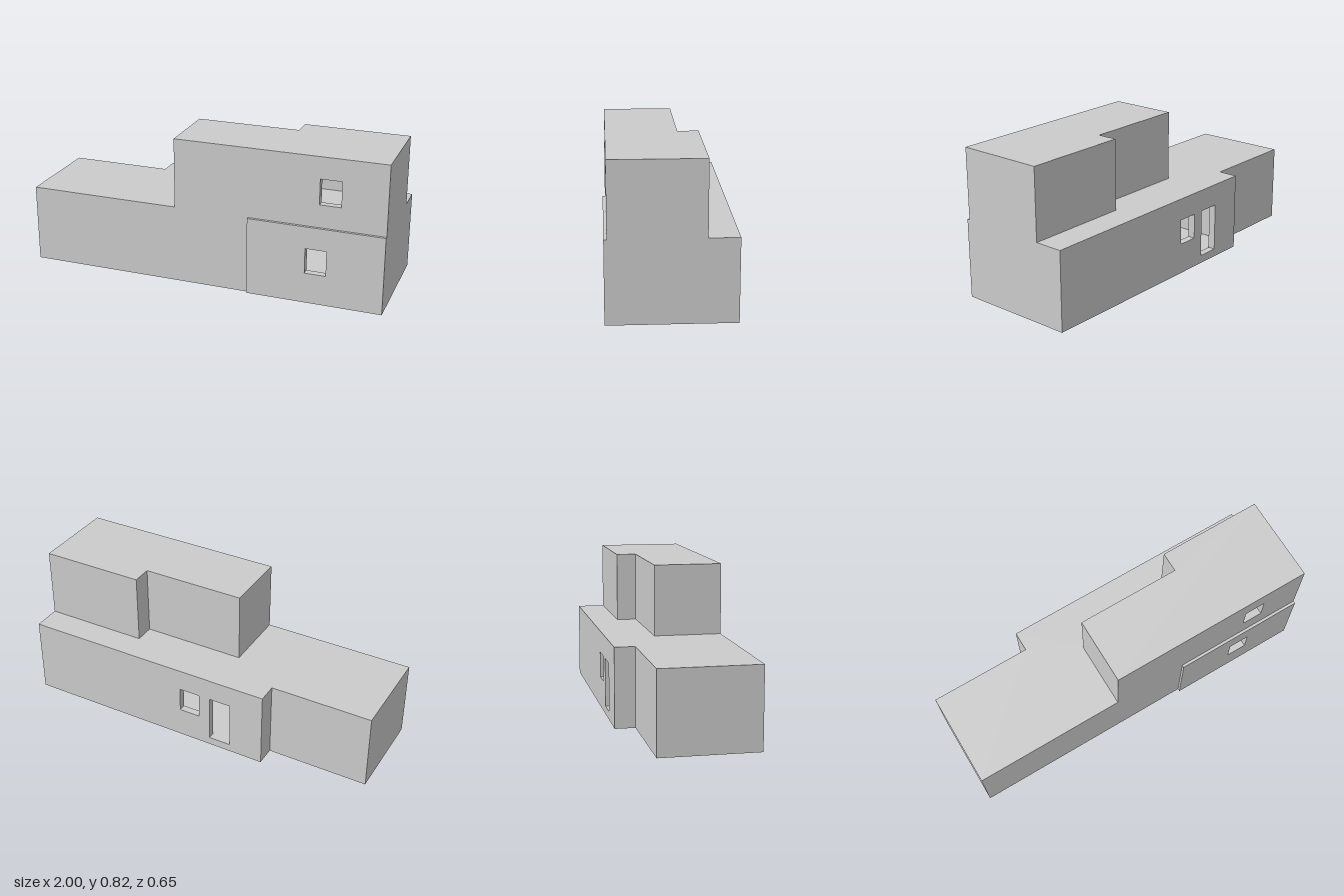
import * as THREE from 'three';

const WALL = 0.04; // thickness of walls, floors and roofs
const material = new THREE.MeshStandardMaterial({ color: 0xcccccc, flatShading: true });

function addMesh(parent, name, geometry) {
  const mesh = new THREE.Mesh(geometry, material);
  mesh.name = name;
  parent.add(mesh);
  return mesh;
}

// Horizontal slab with the outline of the plan, points given as [x, z]
function addSlab(parent, name, plan, y) {
  const shape = new THREE.Shape(plan.map(([x, z]) => new THREE.Vector2(x, -z)));
  const geometry = new THREE.ExtrudeGeometry(shape, { depth: WALL, bevelEnabled: false });
  addMesh(parent, name, geometry.rotateX(-Math.PI / 2).translate(0, y, 0));
}

function rectangle(target, x0, x1, y0, y1) {
  target.moveTo(x0, y0).lineTo(x1, y0).lineTo(x1, y1).lineTo(x0, y1).closePath();
  return target;
}

// True where the plan turns inwards at corner i (plan runs counterclockwise from above)
function isInnerCorner(plan, i) {
  const n = plan.length;
  const [p, q, r] = [plan[(i + n - 1) % n], plan[i % n], plan[(i + 1) % n]];
  return (q[0] - p[0]) * (r[1] - q[1]) - (q[1] - p[1]) * (r[0] - q[0]) > 0;
}

// One wall panel along plan edge i, pierced by openings [x0, x1, y0, y1]
function addWall(parent, plan, i, y0, y1, openings) {
  const a = plan[i], b = plan[(i + 1) % plan.length];
  const dx = b[0] - a[0], dz = b[1] - a[1];
  const start = isInnerCorner(plan, i) ? -WALL : 0;
  const end = Math.hypot(dx, dz) + (isInnerCorner(plan, i + 1) ? WALL : 0);
  const shape = rectangle(new THREE.Shape(), start, end, y0, y1);
  for (const [x0, x1, bottom, top] of openings) {
    const u = [Math.abs(x0 - a[0]), Math.abs(x1 - a[0])].sort((p, q) => p - q);
    shape.holes.push(rectangle(new THREE.Path(), u[0], u[1], bottom, top));
  }
  const geometry = new THREE.ExtrudeGeometry(shape, { depth: WALL, bevelEnabled: false });
  const wall = addMesh(parent, 'wall', geometry.translate(0, 0, -WALL));
  wall.position.set(a[0], 0, a[1]);
  wall.rotation.y = Math.atan2(-dz, dx);
}

// Hollow storey: floor, roof, outer walls and inner partitions
function createStorey({ name, plan, bottom, top, openings, partitions }) {
  const storey = new THREE.Group();
  storey.name = name;
  addSlab(storey, 'floor', plan, bottom);
  addSlab(storey, 'roof', plan, top - WALL);
  const y0 = bottom + WALL, y1 = top - WALL;
  plan.forEach((_, i) => addWall(storey, plan, i, y0, y1, openings[i] ?? []));
  for (const [x, z0, z1] of partitions) {
    const geometry = new THREE.BoxGeometry(WALL, y1 - y0, z1 - z0);
    addMesh(storey, 'partition', geometry)
      .position.set(x + WALL / 2, (y0 + y1) / 2, (z0 + z1) / 2);
  }
  return storey;
}

export function createModel() {
  const house = new THREE.Group();
  house.name = 'house';

  house.add(createStorey({
    name: 'groundFloor',
    plan: [
      [-1, 0.31], [0.26, 0.31], [0.26, 0.325], [1, 0.325],
      [1, -0.325], [-0.435, -0.325], [-0.435, -0.215], [-1, -0.215],
    ],
    bottom: 0,
    top: 0.432,
    openings: {
      2: [[0.58, 0.695, 0.17, 0.31]], // front window
      4: [[-0.053, 0.066, 0.17, 0.31], [-0.243, -0.118, 0.045, 0.31]], // back window and door
    },
    partitions: [[-0.435, -0.215 + WALL, 0.31 - WALL], [0.26, -0.325 + WALL, 0.31 - WALL]],
  }));

  house.add(createStorey({
    name: 'upperFloor',
    plan: [
      [-0.155, 0.31], [1, 0.31], [1, -0.17],
      [0.42, -0.17], [0.42, -0.06], [-0.155, -0.06],
    ],
    bottom: 0.432,
    top: 0.818,
    openings: { 0: [[0.645, 0.76, 0.558, 0.698]] }, // front window
    partitions: [[0.42, -0.06 + WALL, 0.31 - WALL]],
  }));

  return house;
}
